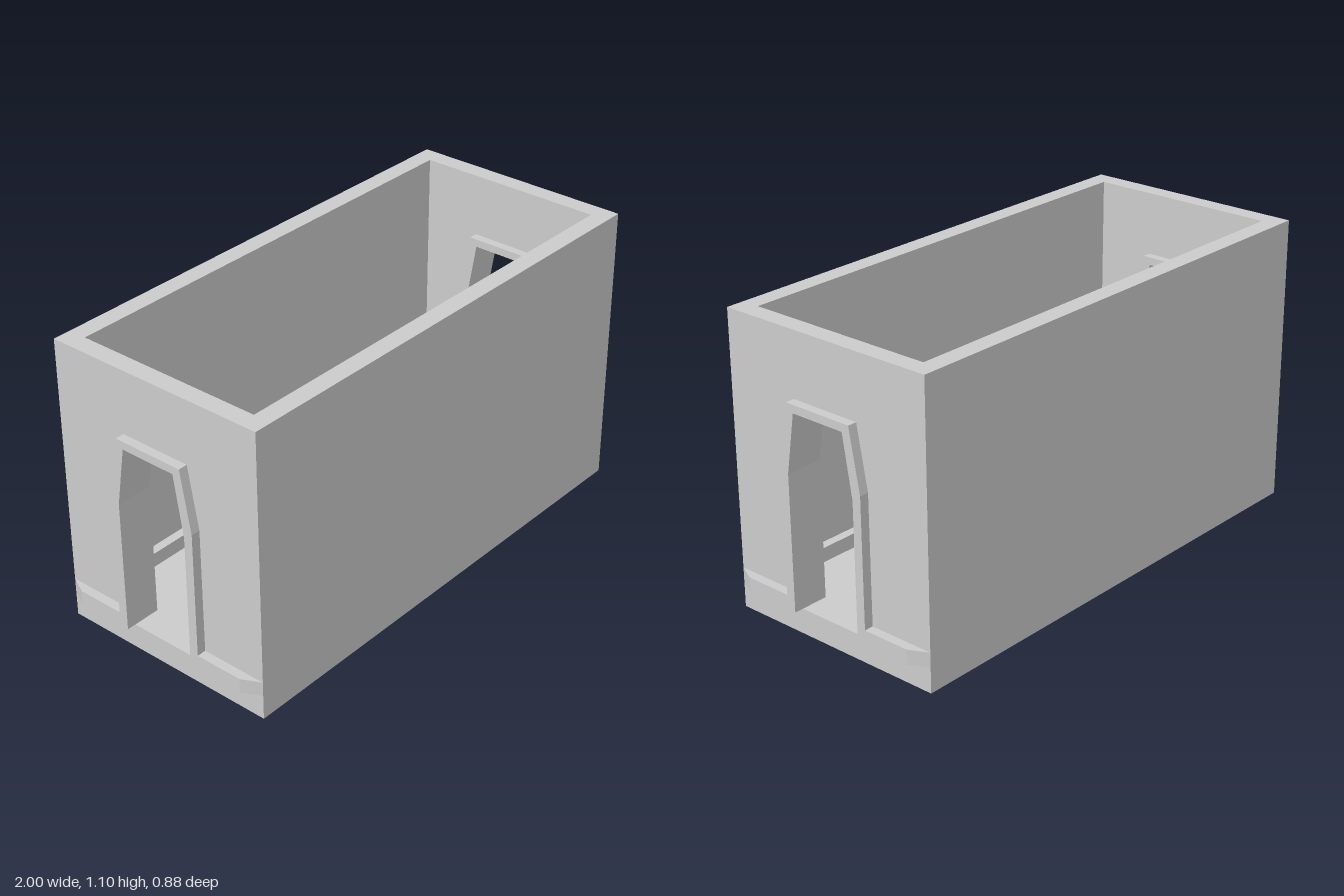
import * as THREE from 'three';

const HX = 0.965, HZ = 0.4375, H = 1.1;   // outer half sizes and height
const WALL = 0.07, TRIM = 0.035;          // wall and trim thickness
const FLOOR = 0.095, BOARD = 0.15;        // floor level and baseboard top
const IX = HX - WALL, IZ = HZ - WALL;     // inner half sizes

const material = new THREE.MeshStandardMaterial({ color: 0xcccccc, flatShading: true });

// Right half of the doorway opening and of the outer edge of its trim
const opening = [[0.147, FLOOR], [0.147, 0.605], [0.11, 0.83]];
const trimEdge = [[0.182, BOARD], [0.182, 0.63], [0.14, 0.86]];

const mirrored = (half) => [...half, ...half.map(([x, y]) => [-x, y]).reverse()];
const points = (list) => list.map(([x, y]) => new THREE.Vector2(x, y));

function addMesh(parent, name, geometry) {
  const mesh = new THREE.Mesh(geometry, material);
  mesh.name = name;
  parent.add(mesh);
  return mesh;
}

function addBox(parent, name, w, h, d, x, y, z) {
  addMesh(parent, name, new THREE.BoxGeometry(w, h, d)).position.set(x, y + h / 2, z);
}

// Extrudes an end-wall outline along x, starting at the given x
function extrudeX(shape, depth, x, rule) {
  const geo = new THREE.ExtrudeGeometry(shape, { depth, bevelEnabled: false });
  if (rule) rule(geo.attributes.position);
  geo.rotateY(Math.PI / 2).translate(x, 0, 0);
  geo.computeVertexNormals();
  return geo;
}

// Doorway frame and baseboard in one outline
function trimShape(halfWidth) {
  const outer = mirrored([[halfWidth, FLOOR], [halfWidth, BOARD], ...trimEdge]);
  return new THREE.Shape(points([...outer, ...mirrored(opening).reverse()]));
}

// Tapers the outer trim toward the building corners
function taperEnds(pos) {
  for (let i = 0; i < pos.count; i++) {
    const x = pos.getX(i);
    if (Math.abs(x) > 0.4 && pos.getZ(i) > TRIM / 2) pos.setX(i, Math.sign(x) * IZ);
  }
}

function createEnd() {
  const end = new THREE.Group();
  const wall = new THREE.Shape(points([[-IZ, 0], [IZ, 0], [IZ, H], [-IZ, H]]));
  wall.holes.push(new THREE.Path(points(mirrored(opening))));
  addMesh(end, 'endWall', extrudeX(wall, WALL, IX));
  addMesh(end, 'outerDoorTrim', extrudeX(trimShape(HZ), TRIM, HX, taperEnds));
  addMesh(end, 'innerDoorTrim', extrudeX(trimShape(IZ - TRIM), TRIM, IX - TRIM));
  return end;
}

export function createModel() {
  const model = new THREE.Group();
  model.name = 'openRoom';

  addBox(model, 'floor', 2 * IX, FLOOR, 2 * IZ, 0, 0, 0);

  // Long walls with their inside baseboards
  for (const [side, s] of [['front', 1], ['back', -1]]) {
    addBox(model, side + 'Wall', 2 * HX, H, WALL, 0, 0, s * (HZ - WALL / 2));
    addBox(model, side + 'Baseboard', 2 * IX, BOARD - FLOOR, TRIM, 0, FLOOR, s * (IZ - TRIM / 2));
  }

  // End walls with doorways
  for (const [name, angle] of [['leftEnd', 0], ['rightEnd', Math.PI]]) {
    const end = createEnd();
    end.name = name;
    end.rotation.y = angle;
    model.add(end);
  }
  return model;
}
